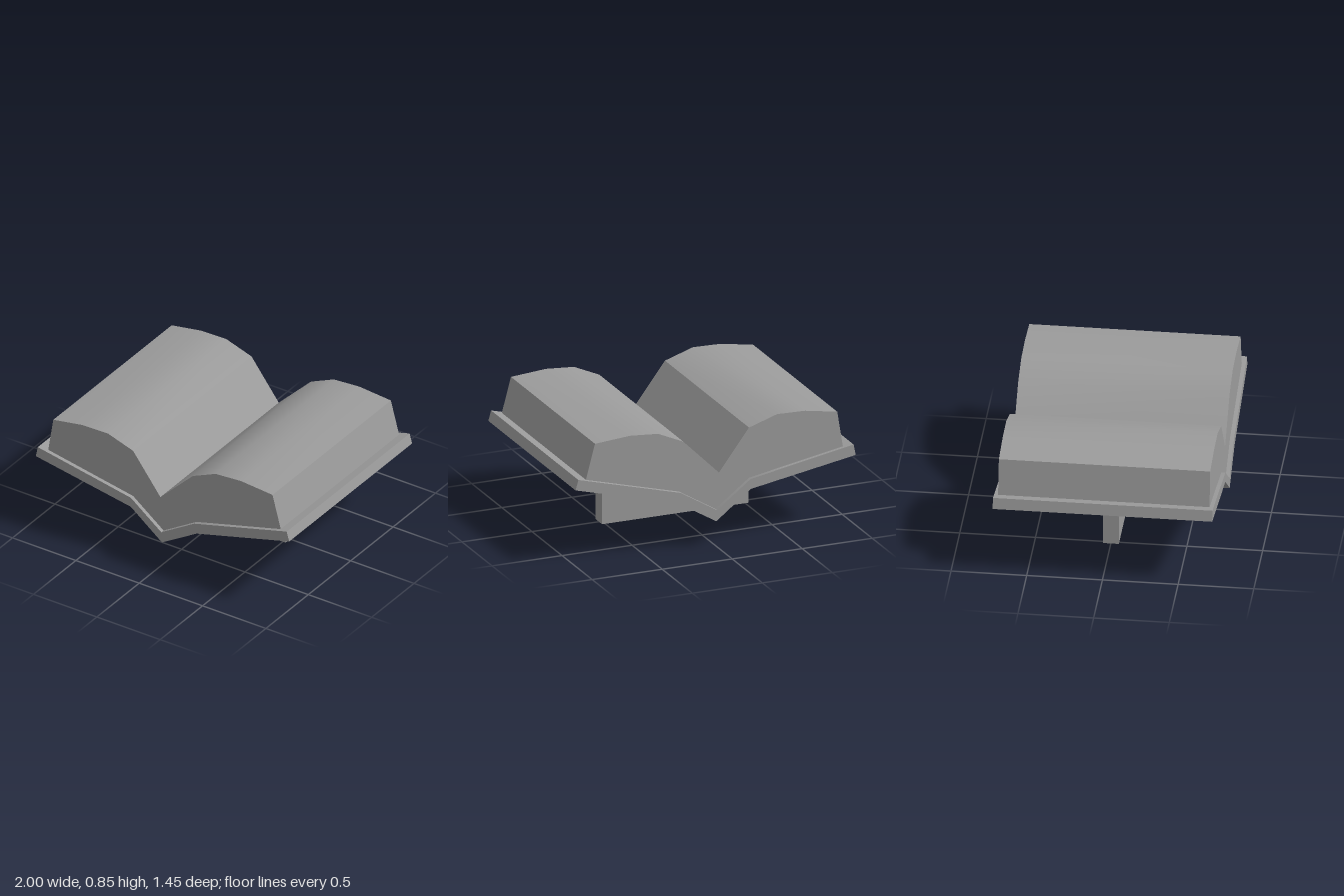
import * as THREE from 'three';
import { mergeGeometries, toCreasedNormals } from 'three/addons/utils/BufferGeometryUtils.js';

const CREASE = THREE.MathUtils.degToRad(30);
const COVER_Z = 0.725, PAGE_Z = 0.698;
const FOOT = { x: 0.522, z: 0.053, top: 0.335 };

// Skin a grid of points (rows of [x, y, z]); faces point along row step x column step.
function surface(rows) {
  const n = rows[0].length, index = [];
  for (let i = 0; i < rows.length - 1; i++)
    for (let j = 0; j < n - 1; j++) {
      const a = i * n + j, d = a + n;
      index.push(a, d, d + 1, a, d + 1, a + 1);
    }
  const g = new THREE.BufferGeometry();
  g.setAttribute('position', new THREE.Float32BufferAttribute(rows.flat(2), 3));
  g.setIndex(index);
  return g.toNonIndexed();
}

// Height of a polyline profile at x.
function heightAt(profile, x) {
  let i = 1;
  while (i < profile.length - 1 && x > profile[i][0]) i++;
  const [x0, y0] = profile[i - 1], [x1, y1] = profile[i];
  return y0 + (y1 - y0) * (x - x0) / (x1 - x0);
}

function part(name, pieces, material) {
  const mesh = new THREE.Mesh(toCreasedNormals(mergeGeometries(pieces), CREASE), material);
  mesh.name = name;
  return mesh;
}

const coverBottom = [[-1, 0.49], [-0.25, 0.36], [-0.005, 0.17], [0.27, 0.335], [1, 0.53]];
const coverTop = [[-0.985, 0.565], [-0.25, 0.43], [-0.01, 0.247], [0.25, 0.405], [0.98, 0.6]];
const pageTop = [[-0.92, 0.553], [-0.88, 0.8], [-0.65, 0.84], [-0.45, 0.845], [-0.25, 0.78],
  [-0.035, 0.497], [0.22, 0.75], [0.4, 0.83], [0.6, 0.845], [0.85, 0.825], [0.915, 0.583]];
const pageBaseX = [-0.92, -0.88, -0.65, -0.45, -0.25, -0.01, 0.25, 0.4, 0.6, 0.85, 0.915];

// Bent cover whose underside blends into the flat top of the foot.
function buildCover(material) {
  const bottomX = [-1, -0.79, -FOOT.x, -0.25, -0.005, 0.27, FOOT.x, 0.79, 1];
  const topX = [-0.985, -0.79, -FOOT.x, -0.25, -0.01, 0.25, FOOT.x, 0.79, 0.98];
  const rowsZ = [-COVER_Z, -0.36, -FOOT.z, FOOT.z, 0.36, COVER_Z];
  const atFoot = z => Math.abs(z) <= FOOT.z;
  const bottom = rowsZ.map(z => bottomX.map(x => [x,
    atFoot(z) && Math.abs(x) <= FOOT.x ? FOOT.top : heightAt(coverBottom, x), z]));
  const top = rowsZ.map((z, i) => topX.map((x, j) => {
    const y = heightAt(coverTop, x);
    return [x, atFoot(z) ? Math.max(y, bottom[i][j][1] + 0.03) : y, z];
  }));
  const column = (rows, j) => rows.map(r => r.at(j));
  return part('cover', [
    surface(top),
    surface(bottomX.map((x, j) => column(bottom, j))),
    surface([top.at(-1), bottom.at(-1)]),
    surface([bottom[0], top[0]]),
    surface([column(bottom, -1), column(top, -1)]),
    surface([column(top, 0), column(bottom, 0)]),
  ], material);
}

// Page block: curved upper skin plus two flat ends, resting on the cover.
function buildPages(material) {
  const upper = z => pageTop.map(([x, y]) => [x, y, z]);
  const lower = z => pageBaseX.map(x => [x, heightAt(coverTop, x), z]);
  return part('pages', [
    surface([upper(-PAGE_Z), upper(PAGE_Z)]),
    surface([upper(PAGE_Z), lower(PAGE_Z)]),
    surface([lower(-PAGE_Z), upper(-PAGE_Z)]),
  ], material);
}

export function createModel() {
  const group = new THREE.Group();
  group.name = 'openBook';
  const material = new THREE.MeshStandardMaterial({ color: 0x9b9b9b });

  // Upright plate the book stands on.
  const foot = new THREE.Mesh(new THREE.BoxGeometry(FOOT.x * 2, FOOT.top, FOOT.z * 2), material);
  foot.position.y = FOOT.top / 2;
  foot.name = 'foot';

  group.add(buildCover(material), buildPages(material), foot);
  return group;
}
